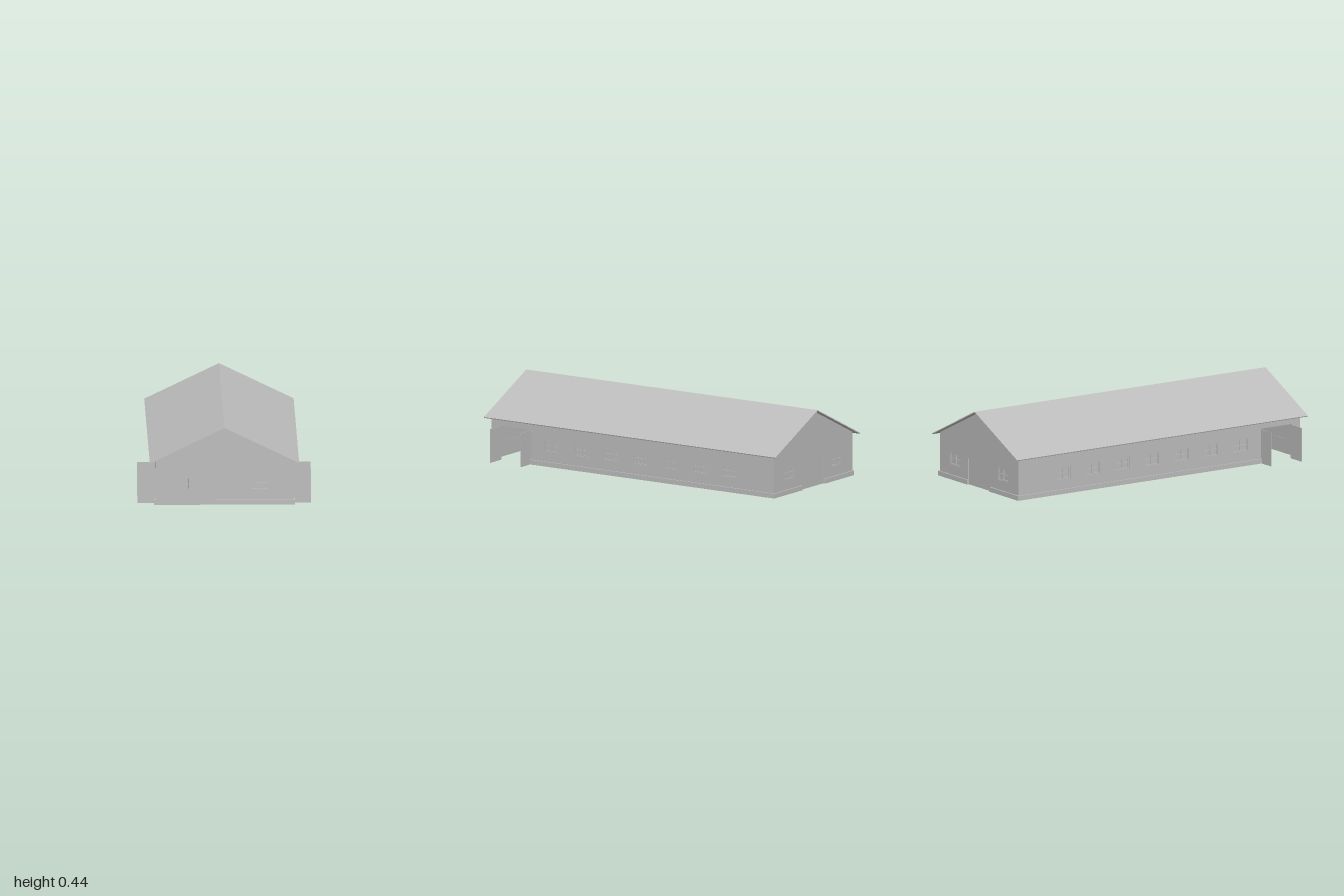
import * as THREE from 'three';

export function createModel() {
  const model = new THREE.Group();
  const grey = new THREE.MeshStandardMaterial({ color: 0xbcbcbc });
  grey.name = 'plain grey';

  const W = 0.39, L = 0.968, T = 0.012;             // half width, half length, wall thickness
  const EAVE = 0.251, APEX = 0.438;                 // wall heights under the roof
  const WIN_W = 0.1, WIN_H = 0.07, WIN_Y = 0.12;    // window size and centre height
  const GATE = [0.7, 0.91], GATE_H = 0.2;           // side gateway
  const BACK_DOOR = 0.11, BACK_DOOR_H = 0.15;       // back door half width, height

  const add = (name, geometry, parent = model) => {
    const mesh = new THREE.Mesh(geometry, grey);
    mesh.name = name;
    parent.add(mesh);
    return mesh;
  };
  const box = (name, w, h, d, x, y, z, parent) =>
    add(name, new THREE.BoxGeometry(w, h, d).translate(x, y, z), parent);
  const polygon = (points) => new THREE.Shape(points.map(([x, y]) => new THREE.Vector2(x, y)));
  const extrude = (shape, depth) => new THREE.ExtrudeGeometry(shape, { depth, bevelEnabled: false });

  // Wall outline with rectangular window openings
  const wallShape = (points, windowCentres) => {
    const shape = polygon(points);
    for (const c of windowCentres) {
      const a = c - WIN_W / 2, b = c + WIN_W / 2;
      const lo = WIN_Y - WIN_H / 2, hi = WIN_Y + WIN_H / 2;
      shape.holes.push(new THREE.Path([[a, lo], [a, hi], [b, hi], [b, lo]]
        .map(([x, y]) => new THREE.Vector2(x, y))));
    }
    return shape;
  };

  // Window with pane, frame and crossing bars, its outside facing local +z
  const addWindow = (x, z, turn) => {
    const win = new THREE.Group();
    win.name = 'window';
    win.position.set(x, WIN_Y, z);
    win.rotation.y = turn;
    const bar = 0.006;
    box('pane', WIN_W, WIN_H, 0.002, 0, 0, -T * 0.75, win);
    for (const s of [-1, 1]) {
      box('frameSide', bar, WIN_H, 0.006, s * (WIN_W - bar) / 2, 0, -0.006, win);
      box('frameRail', WIN_W, bar, 0.006, 0, s * (WIN_H - bar) / 2, -0.006, win);
    }
    box('uprightBar', 0.005, WIN_H, 0.005, 0, 0, -0.006, win);
    box('crossBar', WIN_W, 0.005, 0.005, 0, 0, -0.006, win);
    model.add(win);
  };

  // Front gable wall
  const gable = [[-W, 0], [W, 0], [W, EAVE], [0, APEX], [-W, EAVE]];
  const frontWindows = [-0.202, 0, 0.2];
  add('frontWall', extrude(wallShape(gable, frontWindows), T).translate(0, 0, L - T));
  frontWindows.forEach((x) => addWindow(x, L, 0));

  // Back gable wall with a door between two windows
  const D = BACK_DOOR, H = BACK_DOOR_H;
  const backGable = [[-W, 0], [-D, 0], [-D, H], [D, H], [D, 0], ...gable.slice(1)];
  const backWindows = [-0.235, 0.235];
  add('backWall', extrude(wallShape(backGable, backWindows), T).translate(0, 0, -L));
  backWindows.forEach((x) => addWindow(x, -L, Math.PI));
  box('backDoor', 2 * D, H, 0.004, 0, H / 2, -L + 0.007);

  // Cross wall between the gateway passage and the hall
  add('crossWall', extrude(polygon(gable), T).translate(0, 0, 0.645));

  // Side walls, notched for the gateway
  const sideWindows = Array.from({ length: 7 }, (_, i) => -0.662 + i * 0.203);
  const sideOutline = [[-L, 0], [GATE[0], 0], [GATE[0], GATE_H], [GATE[1], GATE_H],
    [GATE[1], 0], [L, 0], [L, EAVE], [-L, EAVE]];
  for (const s of [-1, 1]) {
    const wall = extrude(wallShape(sideOutline, sideWindows), T).rotateY(-Math.PI / 2);
    add(s > 0 ? 'leftWall' : 'rightWall', wall.translate(s > 0 ? W : -W + T, 0, 0));
    sideWindows.forEach((z) => addWindow(s * W, z, s * Math.PI / 2));

    // Gate leaves standing open, square to the wall
    for (const z of GATE) box('gateLeaf', 0.1, 0.195, 0.003, s * 0.44, 0.0975, z);
  }

  // Plinth strips, broken at the gateways and the back door
  const P = 0.008, PH = 0.027;
  box('frontPlinth', 2 * (W + P), PH, P, 0, PH / 2, L + P / 2);
  for (const s of [-1, 1]) {
    const w = W + P - D;
    box('backPlinth', w, PH, P, s * (D + w / 2), PH / 2, -L - P / 2);
    for (const [a, b] of [[-L, GATE[0]], [GATE[1], L]]) {
      box('sidePlinth', P, PH, b - a, s * (W + P / 2), PH / 2, (a + b) / 2);
    }
  }

  // Thin pitched roof
  const roof = polygon([[-0.42, 0.237], [0, 0.439], [0.42, 0.237],
    [0.422, 0.242], [0, 0.445], [-0.422, 0.242]]);
  add('roof', extrude(roof, 2).translate(0, 0, -1));

  return model;
}
